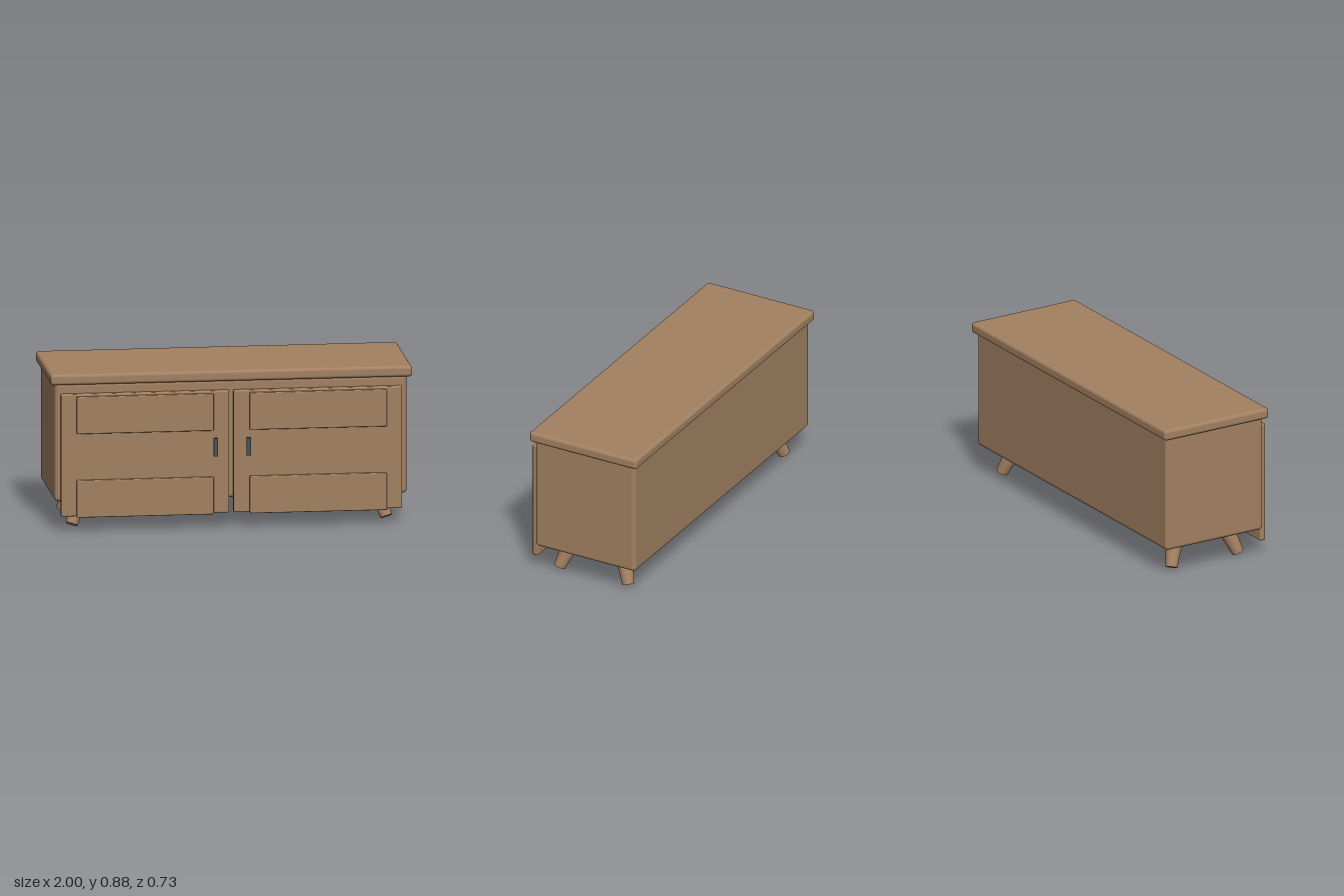
import * as THREE from 'three';
import { RoundedBoxGeometry } from 'three/addons/geometries/RoundedBoxGeometry.js';

export function createModel() {
  const model = new THREE.Group();
  model.name = 'sideboard';

  const wood = new THREE.MeshStandardMaterial({ color: 0xa38162 });
  wood.name = 'wood';
  const metal = new THREE.MeshStandardMaterial({ color: 0x4a5459 });
  metal.name = 'darkMetal';

  const add = (name, geometry, material) => {
    const mesh = new THREE.Mesh(geometry, material);
    mesh.name = name;
    model.add(mesh);
    return mesh;
  };

  // Rounded board given by its limits on each axis
  const board = (name, [x0, x1], [y0, y1], [z0, z1], radius) => {
    const mesh = add(name, new RoundedBoxGeometry(x1 - x0, y1 - y0, z1 - z0, 4, radius), wood);
    mesh.position.set((x0 + x1) / 2, (y0 + y1) / 2, (z0 + z1) / 2);
  };

  // Tapered round leg between a foot point and a top point
  const leg = (name, foot, top) => {
    const axis = top.clone().sub(foot);
    const mesh = add(name, new THREE.CylinderGeometry(0.048, 0.033, axis.length(), 32), wood);
    mesh.position.copy(foot).add(top).multiplyScalar(0.5);
    mesh.quaternion.setFromUnitVectors(new THREE.Vector3(0, 1, 0), axis.normalize());
  };

  // Cabinet and overhanging top
  board('cabinetBody', [-0.975, 0.972], [0.16, 0.825], [-0.342, 0.286], 0.022);
  board('tableTop', [-1, 1], [0.816, 0.877], [-0.366, 0.31], 0.018);

  // Doors, each with two raised panels and a floating bar handle
  const doors = [
    { side: 'right', door: [-0.945, -0.015], panel: [-0.86, -0.102], handle: -0.093 },
    { side: 'left', door: [0.01, 0.942], panel: [0.096, 0.855], handle: 0.088 },
  ];
  for (const { side, door, panel, handle } of doors) {
    board(`${side}Door`, door, [0.084, 0.767], [0.284, 0.321], 0.008);
    board(`${side}UpperPanel`, panel, [0.548, 0.755], [0.317, 0.341], 0.006);
    board(`${side}LowerPanel`, panel, [0.08, 0.288], [0.317, 0.341], 0.006);
    const bar = add(`${side}Handle`, new THREE.CylinderGeometry(0.0125, 0.0125, 0.1, 24), metal);
    bar.position.set(handle, 0.46, 0.356);
  }

  // Four legs splayed towards the corners
  const middleZ = -0.028;
  for (const sx of [-1, 1]) {
    for (const sz of [-1, 1]) {
      leg(
        `${sz > 0 ? 'front' : 'back'}${sx > 0 ? 'Left' : 'Right'}Leg`,
        new THREE.Vector3(sx * 0.87, 0.0145, middleZ + sz * 0.216),
        new THREE.Vector3(sx * 0.82, 0.163, middleZ + sz * 0.162),
      );
    }
  }
  return model;
}
